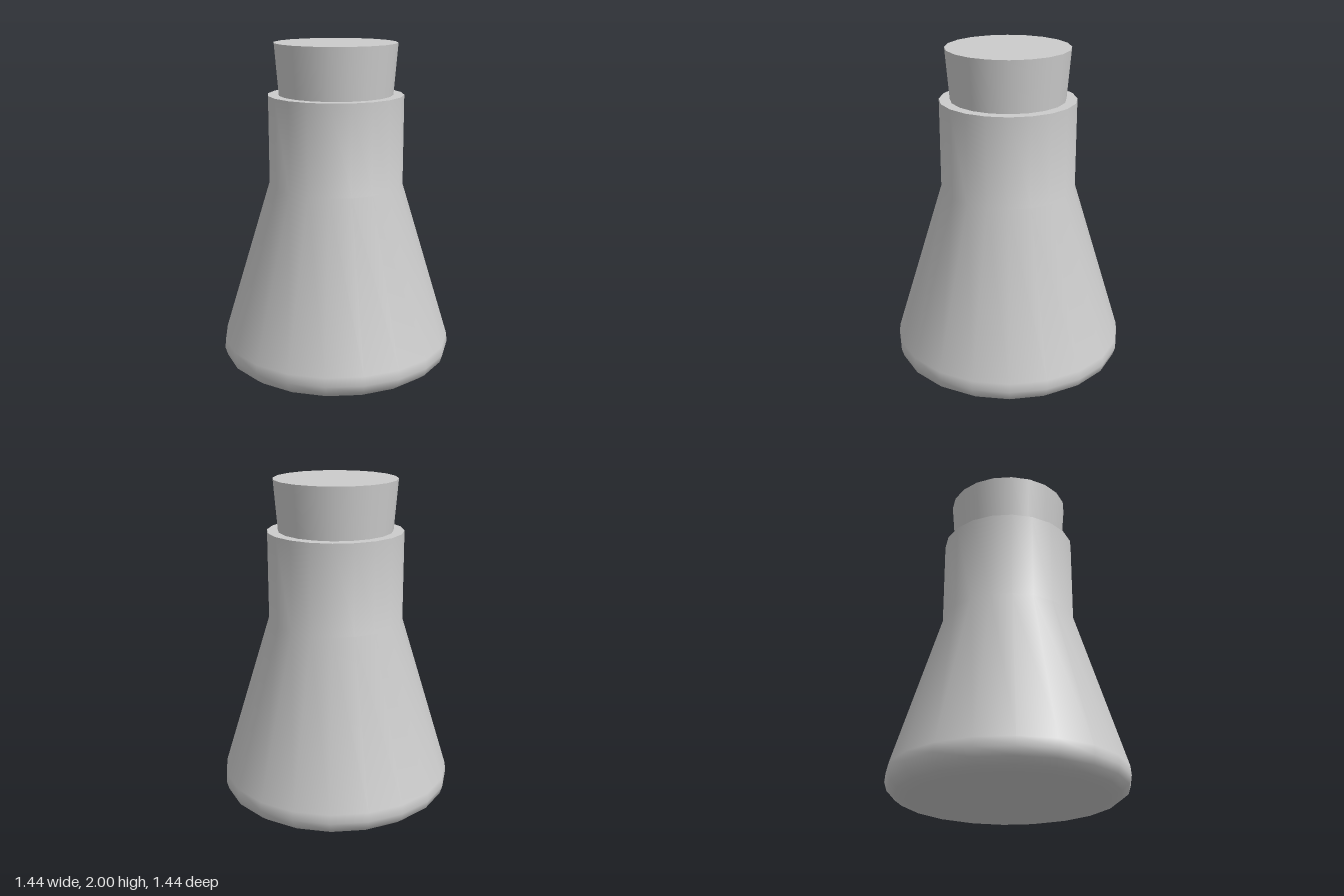
import * as THREE from 'three';

const SIDES = 20;
const material = new THREE.MeshStandardMaterial({ color: 0xcccccc });

// Revolve each profile run separately, so edges between runs stay sharp
function turned(name, runs) {
  const part = new THREE.Group();
  part.name = name;
  for (const [label, points] of Object.entries(runs)) {
    const profile = points.map(([r, y]) => new THREE.Vector2(r, y));
    const mesh = new THREE.Mesh(new THREE.LatheGeometry(profile, SIDES), material);
    mesh.name = label;
    part.add(mesh);
  }
  return part;
}

export function createModel() {
  const model = new THREE.Group();
  model.name = 'stopperedFlask';

  // Conical flask with rounded foot and straight neck
  model.add(turned('flask', {
    base: [[0, 0], [0.6, 0]],
    body: [[0.6, 0], [0.66, 0.015], [0.705, 0.05], [0.72, 0.1], [0.715, 0.155], [0.415, 1.14], [0.415, 1.69]],
    rim: [[0.415, 1.69], [0.335, 1.69]],
  }));

  // Tapered stopper seated in the neck
  model.add(turned('stopper', {
    stopperBottom: [[0, 1.6], [0.342, 1.6]],
    stopperSide: [[0.342, 1.6], [0.375, 2]],
    stopperTop: [[0.375, 2], [0, 2]],
  }));

  return model;
}
